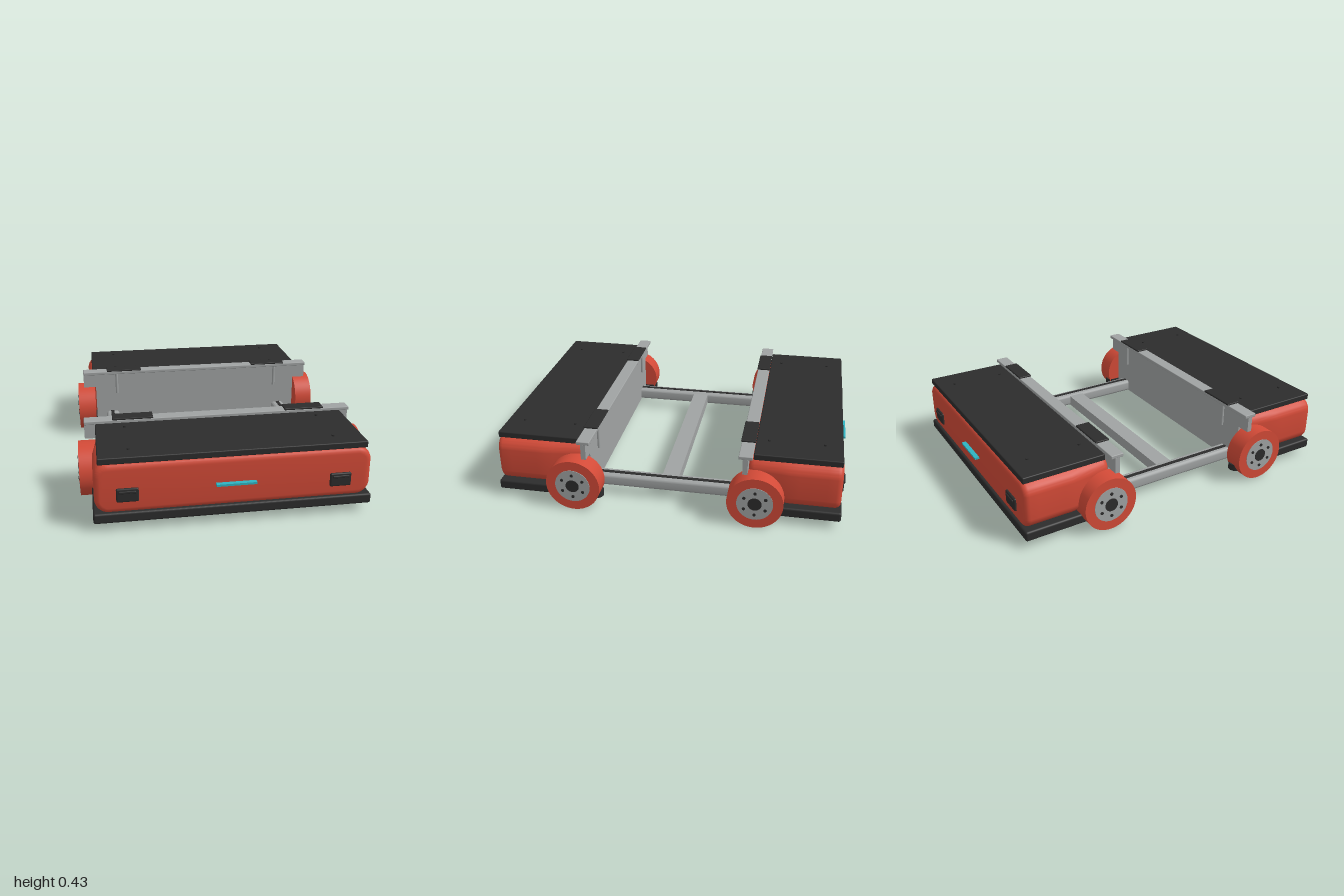
import * as THREE from 'three';
import { toCreasedNormals } from 'three/addons/utils/BufferGeometryUtils.js';
import { RoundedBoxGeometry } from 'three/addons/geometries/RoundedBoxGeometry.js';

const material = (name, color) => {
  const m = new THREE.MeshStandardMaterial({ color });
  m.name = name;
  return m;
};

function roundedRect(w, h, r) {
  const s = new THREE.Shape(), x = w / 2, y = h / 2;
  s.absarc(x - r, y - r, r, 0, Math.PI / 2);
  s.absarc(-x + r, y - r, r, Math.PI / 2, Math.PI);
  s.absarc(-x + r, -y + r, r, Math.PI, Math.PI * 1.5);
  s.absarc(x - r, -y + r, r, Math.PI * 1.5, Math.PI * 2);
  s.closePath();
  return s;
}

export function createModel() {
  const red = material('red paint', 0xd24a37);
  const black = material('black plastic', 0x2c2c2c);
  const grey = material('grey metal', 0xa0a3a3);
  const teal = material('teal light', 0x2fb4c2);

  const add = (parent, name, geometry, mat, x, y, z) => {
    const mesh = new THREE.Mesh(geometry, mat);
    mesh.name = name;
    mesh.position.set(x, y, z);
    parent.add(mesh);
    return mesh;
  };
  // Box from its limits on each axis
  const box = (parent, name, mat, x0, x1, y0, y1, z0, z1, r = 0) => {
    const s = [x1 - x0, y1 - y0, z1 - z0];
    const geometry = r ? new RoundedBoxGeometry(...s, 3, r) : new THREE.BoxGeometry(...s);
    return add(parent, name, geometry, mat, (x0 + x1) / 2, (y0 + y1) / 2, (z0 + z1) / 2);
  };
  // Cylinder lying along x
  const disc = (parent, name, mat, r, length, x, y, z, sides = 48) =>
    add(parent, name, new THREE.CylinderGeometry(r, r, length, sides).rotateZ(-Math.PI / 2), mat, x, y, z);

  function createWheel(side) {
    const wheel = new THREE.Group();
    wheel.name = 'wheel';
    disc(wheel, 'tyre', red, 0.155, 0.112, 0, 0, 0, 64);
    disc(wheel, 'hubPlate', grey, 0.1, 0.006, side * 0.056, 0, 0);
    disc(wheel, 'hubCap', black, 0.038, 0.01, side * 0.057, 0, 0, 32);
    for (let i = 0; i < 6; i++) {
      const a = (i / 6) * Math.PI * 2 + Math.PI / 6;
      disc(wheel, 'hubBolt', black, 0.009, 0.014, side * 0.056, 0.068 * Math.sin(a), 0.068 * Math.cos(a), 12);
    }
    return wheel;
  }

  function createUnit(name) {
    const unit = new THREE.Group();
    unit.name = name;

    // Bumper base and bodywork, narrowed beside the wheels
    box(unit, 'base', black, -0.745, 0.745, 0.045, 0.102, 0.455, 0.98, 0.012);
    const bevel = 0.03;
    let shell = new THREE.ExtrudeGeometry(roundedRect(1.47 - 2 * bevel, 0.275 - 2 * bevel, 0.045), {
      depth: 0.45, steps: 9, curveSegments: 8,
      bevelEnabled: true, bevelSize: bevel, bevelThickness: bevel, bevelSegments: 4,
    });
    const p = shell.attributes.position;
    for (let i = 0; i < p.count; i++) {
      const t = THREE.MathUtils.clamp((0.2 - p.getZ(i)) / 0.2, 0, 1);
      p.setX(i, p.getX(i) * (1 - 0.035 * t));
    }
    shell = toCreasedNormals(shell, 0.6);
    add(unit, 'body', shell, red, 0, 0.2345, 0.492);

    // Top deck with its bolts
    box(unit, 'topDeck', black, -0.71, 0.71, 0.37, 0.406, 0.488, 0.965, 0.006);

    // Inner wall and upper rail
    box(unit, 'innerWall', grey, -0.69, 0.69, 0.06, 0.31, 0.435, 0.463);
    box(unit, 'upperWall', grey, -0.77, 0.77, 0.31, 0.402, 0.435, 0.463);
    box(unit, 'topRail', grey, -0.77, 0.77, 0.4, 0.42, 0.412, 0.487, 0.004);

    // Centre light bar
    box(unit, 'lightBar', teal, -0.107, 0.107, 0.22, 0.232, 0.965, 0.998);

    for (const side of [-1, 1]) {
      const wheel = createWheel(side);
      wheel.position.set(side * 0.753, 0.155, 0.512);
      unit.add(wheel);

      // Lamp with a raised frame
      const lamp = new THREE.Group();
      lamp.name = 'lamp';
      lamp.position.set(side * 0.565, 0.201, 0.97);
      unit.add(lamp);
      box(lamp, 'lampFace', black, -0.058, 0.058, -0.038, 0.038, -0.01, 0.014, 0.008);
      box(lamp, 'lampBrow', black, -0.045, 0.045, 0.012, 0.026, 0, 0.02, 0.004);

      for (const z of [0.56, 0.865]) {
        add(unit, 'deckBolt', new THREE.CylinderGeometry(0.008, 0.008, 0.012, 12), black, side * 0.548, 0.408, z);
      }
      // Clamp pad, its pin and the strut below
      box(unit, 'clampPad', black, side * 0.497 - 0.115, side * 0.497 + 0.115, 0.42, 0.431, 0.408, 0.49, 0.004);
      add(unit, 'strut', new THREE.CylinderGeometry(0.009, 0.009, 0.14, 12), grey, side * 0.548, 0.335, 0.425);
      // Roller guard behind the wheel
      add(unit, 'rollerGuard', new THREE.CylinderGeometry(0.038, 0.038, 0.04, 24), black, side * 0.73, 0.08, 0.395);
      box(unit, 'rollerArm', black, side * 0.715 - 0.025, side * 0.715 + 0.025, 0.06, 0.1, 0.39, 0.48);
    }
    return unit;
  }

  const model = new THREE.Group();
  model.name = 'twinAxlePlatform';
  const front = createUnit('frontUnit');
  const back = createUnit('backUnit');
  back.rotation.y = Math.PI;
  model.add(front, back);

  // Joining frame: two long rails with dark slots, and a cross beam
  for (const side of [-1, 1]) {
    const rail = new THREE.ExtrudeGeometry(roundedRect(0.085, 0.074, 0.02), { depth: 1, bevelEnabled: false, curveSegments: 6 });
    add(model, 'longRail', toCreasedNormals(rail, 0.6), grey, side * 0.583, 0.094, -0.5);
    box(model, 'railSlot', black, side * 0.585 - 0.011, side * 0.585 + 0.011, 0.127, 0.134, -0.46, 0.46);
  }
  box(model, 'crossBeam', grey, -0.55, 0.55, 0.06, 0.125, -0.05, 0.048);

  return model;
}
